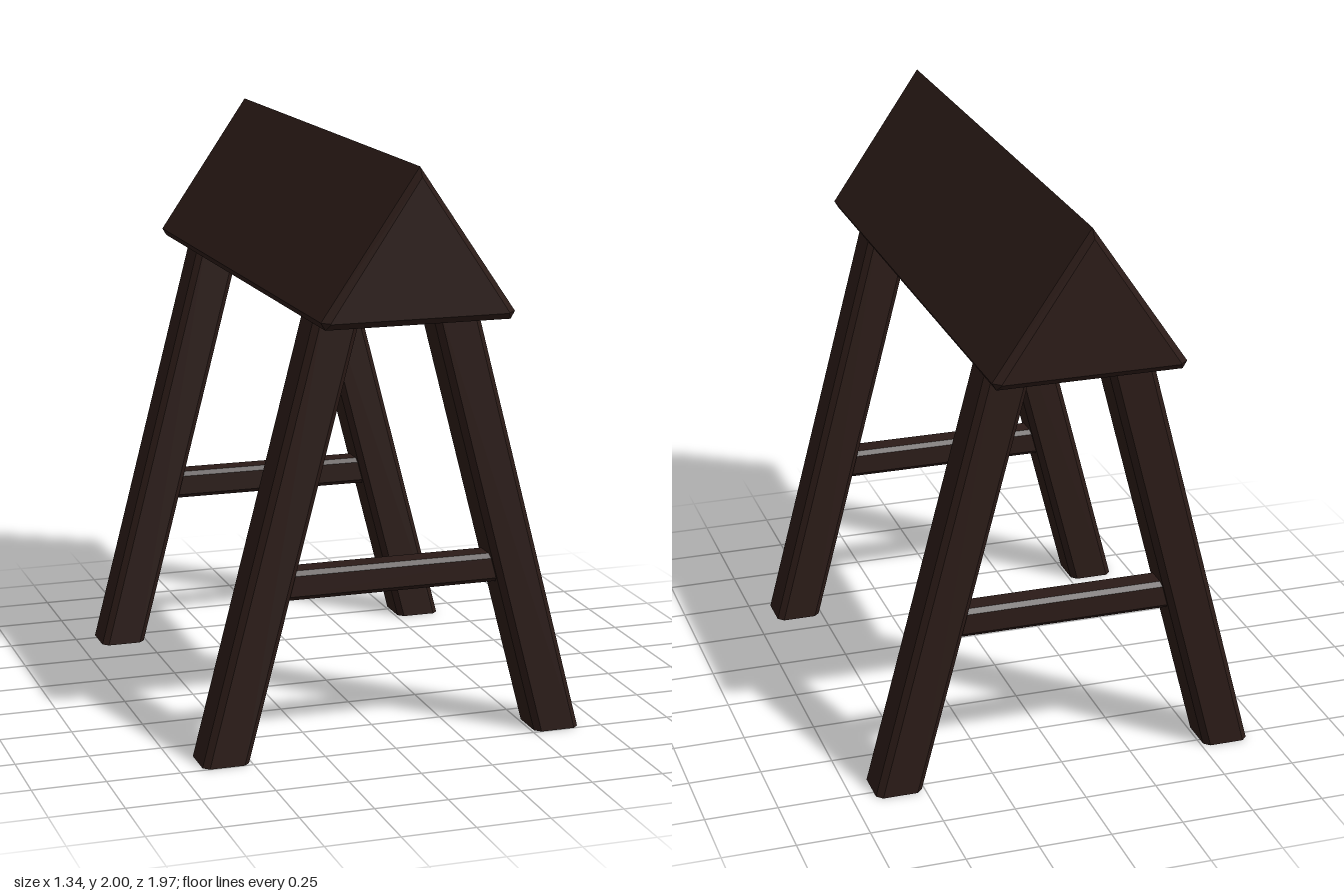
import * as THREE from 'three';

const wood = new THREE.MeshStandardMaterial({ color: 0x2b1b17, flatShading: true });

function shapeOf(points) {
  return new THREE.Shape(points.map(([x, y]) => new THREE.Vector2(x, y)));
}

// Square section with chamfered corners, extruded along z
function beam(size, chamfer, length) {
  const h = size / 2, i = h - chamfer;
  const section = shapeOf([[h, -i], [h, i], [i, h], [-i, h], [-h, i], [-h, -i], [-i, -h], [i, -h]]);
  return new THREE.ExtrudeGeometry(section, { depth: length, bevelEnabled: false });
}

// Upright beam sheared sideways so that its foot stays flat on the ground
function legGeometry(side) {
  const geometry = beam(0.16, 0.02, 1.53).rotateX(-Math.PI / 2);
  const pos = geometry.attributes.position;
  for (let i = 0; i < pos.count; i++) {
    pos.setX(i, pos.getX(i) + side * (0.59 - 0.26 * pos.getY(i)));
  }
  geometry.computeVertexNormals();
  return geometry;
}

export function createModel() {
  const group = new THREE.Group();
  const add = (name, geometry, z) => {
    const mesh = new THREE.Mesh(geometry, wood);
    mesh.name = name;
    mesh.position.z = z;
    group.add(mesh);
  };

  // Triangular ridge beam with chamfered lower edges and ends
  const profile = shapeOf([[-0.32, 1.495], [0.305, 1.495], [0.32, 1.52], [-0.0075, 2], [-0.335, 1.52]]);
  const bevel = 0.022;
  const ridge = new THREE.ExtrudeGeometry(profile, {
    depth: 1.97 - 2 * bevel, bevelSegments: 1,
    bevelThickness: bevel, bevelSize: bevel, bevelOffset: -bevel,
  });
  add('ridgeBeam', ridge, -0.985 + bevel);

  // Splayed leg pairs, each joined by a crossbar
  for (const [end, z] of [['front', 0.67], ['back', -0.72]]) {
    add(end + 'LeftLeg', legGeometry(1), z);
    add(end + 'RightLeg', legGeometry(-1), z);
    const bar = beam(0.1, 0.015, 0.8).translate(0, 0, -0.4).rotateY(Math.PI / 2).translate(0, 0.59, 0);
    add(end + 'Crossbar', bar, z);
  }
  return group;
}
